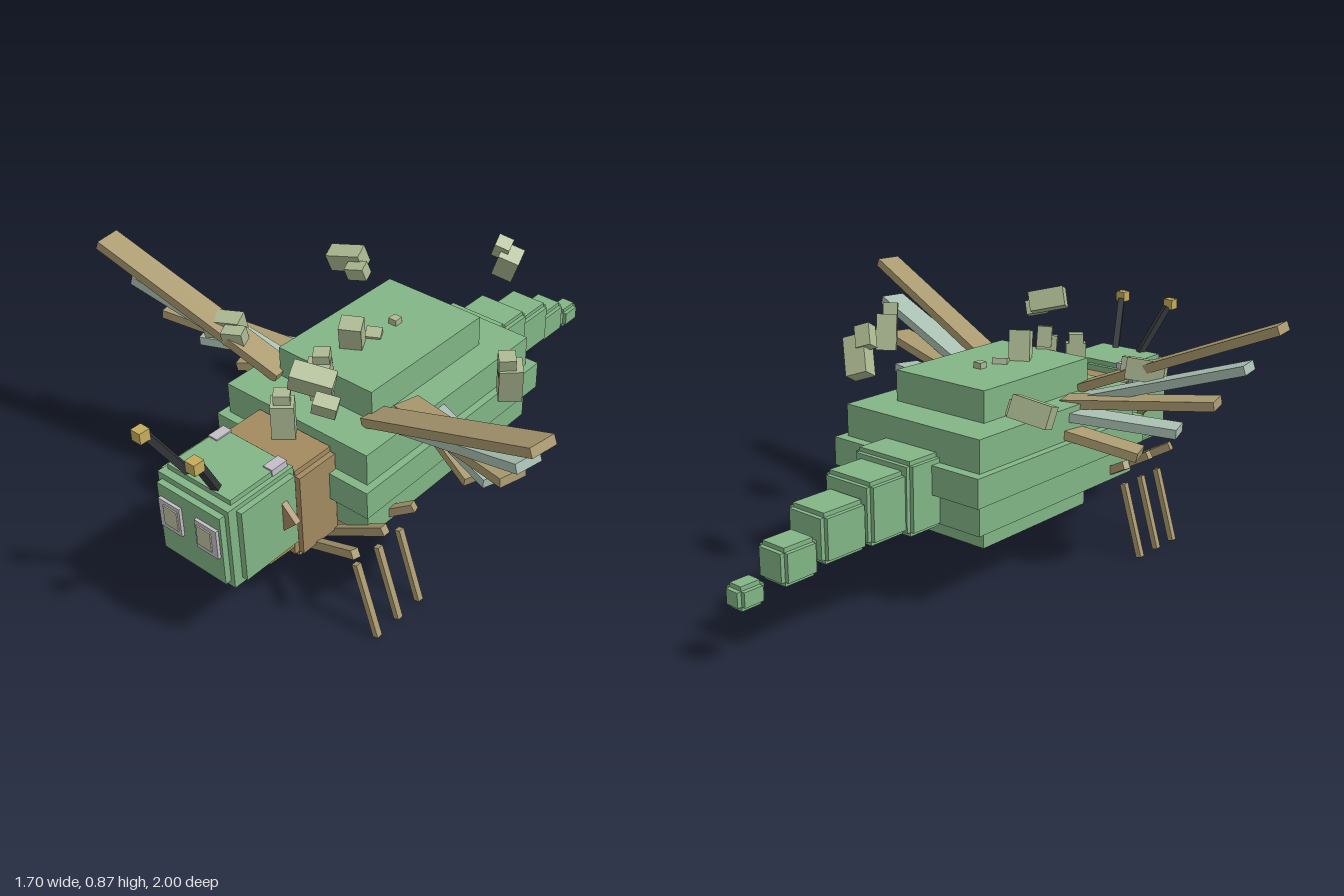
import * as THREE from 'three';

const mat = (name, color) => {
  const m = new THREE.MeshStandardMaterial({ color });
  m.name = name;
  return m;
};

export function createModel() {
  const root = new THREE.Group();
  root.name = 'blockyInsect';
  const green = mat('leafGreen', 0x82b586);
  const brown = mat('neckBrown', 0xa38a60);
  const tan = mat('wingTan', 0xaa9a70);
  const mint = mat('wingMint', 0xa9c0b2);
  const black = mat('antennaBlack', 0x34363a);
  const gold = mat('gold', 0xc4ac5c);
  const lilac = mat('lilac', 0xc4bec8);
  const pale = mat('paleEye', 0xc0c4a0);
  const sage = mat('chunkSage', 0xacb992);

  // Box from minimum and maximum corners
  const span = (name, m, x0, x1, y0, y1, z0, z1, parent = root) => {
    const b = new THREE.Mesh(new THREE.BoxGeometry(x1 - x0, y1 - y0, z1 - z0), m);
    b.position.set((x0 + x1) / 2, (y0 + y1) / 2, (z0 + z1) / 2);
    b.name = name;
    parent.add(b);
    return b;
  };
  // Block with stepped edges: three crossing boxes, each inset on two axes
  const stepped = (name, m, hx, y0, y1, z0, z1, e) => {
    const g = new THREE.Group();
    g.name = name;
    span(name + 'Wide', m, -hx, hx, y0 + e, y1 - e, z0 + e, z1 - e, g);
    span(name + 'Tall', m, -hx + e, hx - e, y0, y1, z0 + e, z1 - e, g);
    span(name + 'Long', m, -hx + e, hx - e, y0 + e, y1 - e, z0, z1, g);
    root.add(g);
  };
  // Plank running between two points
  const beam = (name, m, a, b, width, thick) => {
    const p = new THREE.Vector3(...a), q = new THREE.Vector3(...b);
    const o = new THREE.Mesh(new THREE.BoxGeometry(width, thick, p.distanceTo(q)), m);
    o.position.copy(p).lerp(q, 0.5);
    o.lookAt(q);
    o.name = name;
    root.add(o);
  };

  // Layered body
  span('bodyBelly', green, -0.185, 0.185, 0.155, 0.26, -0.155, 0.37);
  span('bodyLower', green, -0.28, 0.28, 0.26, 0.365, -0.285, 0.505);
  span('bodyMiddle', green, -0.305, 0.305, 0.365, 0.46, -0.32, 0.535);
  span('bodyUpper', green, -0.28, 0.28, 0.46, 0.567, -0.285, 0.505);
  span('bodyBack', green, -0.185, 0.185, 0.567, 0.67, -0.155, 0.37);
  span('backStud', sage, -0.015, 0.015, 0.665, 0.69, 0.025, 0.055);

  // Tapering tail: half width, bottom, top, back, front
  [
    [0.12, 0.25, 0.49, -0.415, -0.26],
    [0.1, 0.26, 0.46, -0.56, -0.4],
    [0.08, 0.25, 0.408, -0.725, -0.55],
    [0.06, 0.22, 0.338, -0.86, -0.725],
    [0.038, 0.187, 0.262, -1.0, -0.905],
  ].forEach(([hx, y0, y1, z0, z1], i) =>
    stepped('tailSegment' + (i + 1), green, hx, y0, y1, z0, z1, 0.014));

  // Neck and head
  stepped('neck', brown, 0.16, 0.215, 0.535, 0.49, 0.675, 0.018);
  span('headWide', green, -0.16, 0.16, 0.295, 0.54, 0.675, 0.885);
  span('headTall', green, -0.125, 0.125, 0.26, 0.572, 0.675, 0.89);
  span('headDeep', green, -0.14, 0.14, 0.275, 0.555, 0.66, 0.915);
  span('headFace', green, -0.125, 0.125, 0.295, 0.535, 0.66, 0.935);

  // Mouth bar
  span('mouthBar', gold, -0.08, 0.08, 0.195, 0.222, 0.705, 0.735);

  const wings = [
    // root, tip
    [[0.18, 0.575, 0.36], [0.835, 0.855, 0.465]],
    [[0.2, 0.545, 0.3], [0.76, 0.73, 0.41]],
    [[0.2, 0.555, 0.23], [0.685, 0.612, 0.365]],
    [[0.22, 0.535, 0.175], [0.59, 0.518, 0.305]],
    [[0.22, 0.49, 0.15], [0.485, 0.432, 0.25]],
  ];
  for (const s of [1, -1]) {
    const side = s > 0 ? 'left' : 'right';
    const flip = ([x, y, z]) => [s * x, y, z];
    const pair = (name, m, a, b, w, t) => beam(side + name, m, flip(a), flip(b), w, t);
    const box = (name, m, x, y, z, w, h, d) =>
      span(side + name, m, s * x - w / 2, s * x + w / 2, y - h / 2, y + h / 2, z - d / 2, z + d / 2);

    // Fanned wing planks
    wings.forEach(([a, b], i) => pair('Wing' + (i + 1), i % 2 ? mint : tan, a, b, 0.09, 0.03));

    // Legs in two pieces
    [[0.575, 0.64, 0.605], [0.51, 0.51, 0.508], [0.45, 0.375, 0.41]].forEach(([zi, zo, zf], i) => {
      pair('UpperLeg' + (i + 1), tan, [0.1, 0.19, zi], [0.35, 0.332, zo], 0.025, 0.028);
      pair('LowerLeg' + (i + 1), tan, [0.32, 0.25, zf], [0.397, 0.005, zf], 0.02, 0.02);
    });

    // Antennae
    pair('Antenna', black, [0.05, 0.555, 0.865], [0.1, 0.73, 0.965], 0.022, 0.022);
    box('AntennaTip', gold, 0.105, 0.74, 0.98, 0.036, 0.036, 0.036);

    // Mandible, eye, ear stud and cheek plate
    pair('Mandible', gold, [0.14, 0.285, 0.685], [0.075, 0.208, 0.722], 0.025, 0.025);
    box('EyeFrame', lilac, 0.073, 0.44, 0.92, 0.085, 0.1, 0.05);
    box('Eye', pale, 0.067, 0.442, 0.946, 0.055, 0.068, 0.006);
    box('EarStud', lilac, 0.11, 0.562, 0.7, 0.035, 0.03, 0.06);
    const cheek = box('Cheek', brown, 0.155, 0.425, 0.722, 0.078, 0.078, 0.02);
    cheek.rotation.z = Math.PI / 4;
  }

  // Floating chunks, each a large block with a smaller one: position, turn, offset
  [
    [[-0.4, 0.655, -0.19], [0.3, 0.3, 0.1], [0.065, -0.015, 0.025]],
    [[0.14, 0.76, -0.36], [0.5, 0.2, 1.1], [-0.01, 0.06, 0.02]],
    [[0.48, 0.7, 0.1], [0.3, 0.7, 1.4], [0, 0.065, 0.02]],
    [[-0.02, 0.7, 0.22], [0.3, 0.5, 1.4], [0.01, -0.05, -0.09]],
    [[0.005, 0.65, 0.39], [0.2, 0.6, 1.5], [0, 0.06, -0.01]],
    [[-0.41, 0.665, 0.38], [0.2, 0.4, 0], [0.07, 0, 0.025]],
    [[0.13, 0.79, 0.555], [0.4, 0.4, -0.4], [0.07, -0.04, 0.025]],
    [[0, 0.595, 0.55], [0.1, 0.7, 1.5], [0, 0.06, 0]],
  ].forEach(([p, r, o], i) => {
    [[0.125, 0.07, 0.06], [0.07, 0.05, 0.045]].forEach((size, k) => {
      const c = new THREE.Mesh(new THREE.BoxGeometry(...size), sage);
      c.position.set(...p.map((v, j) => v + k * o[j]));
      c.rotation.set(...r);
      c.name = (k ? 'smallChunk' : 'largeChunk') + (i + 1);
      root.add(c);
    });
  });
  return root;
}
